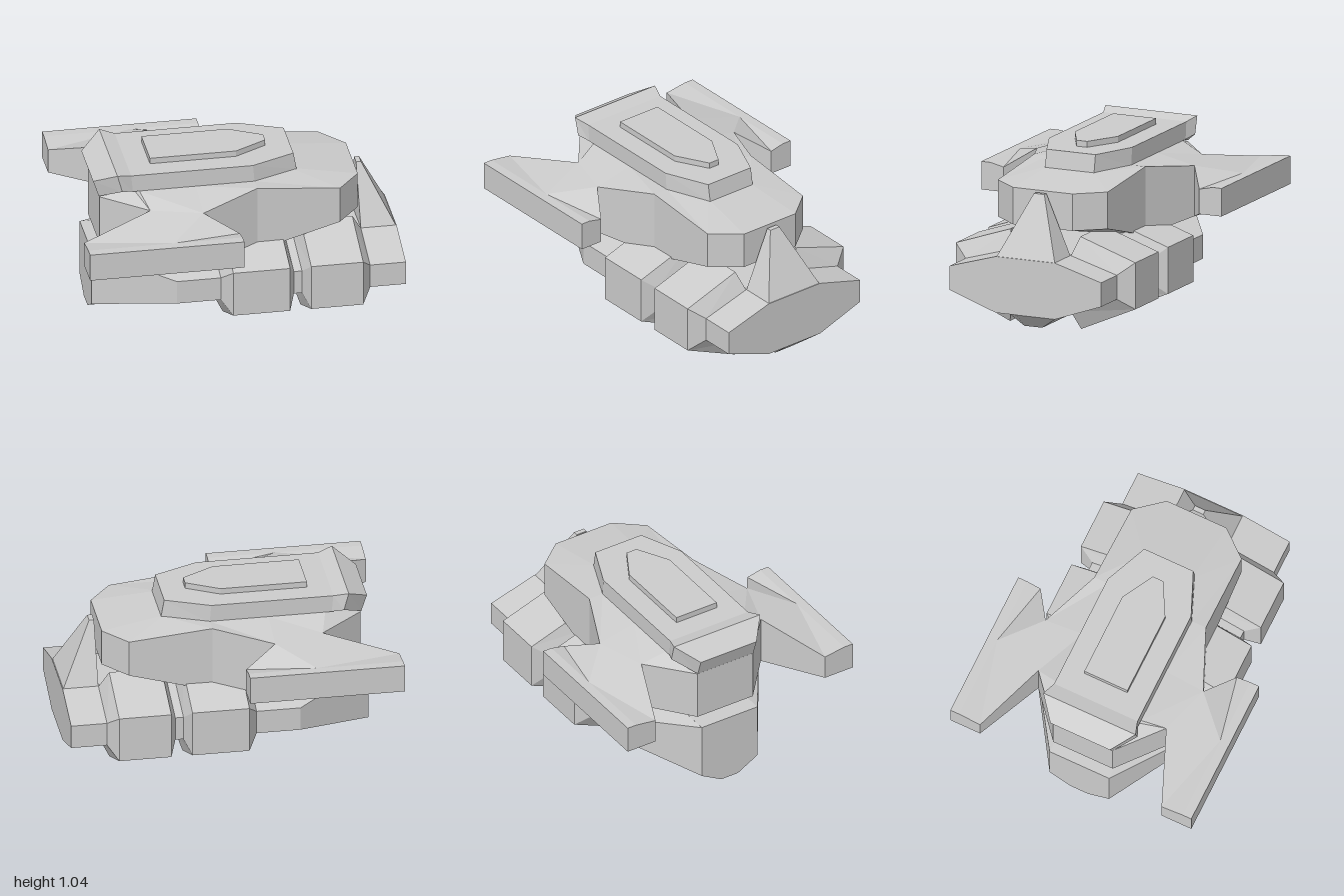
import * as THREE from 'three';

const material = new THREE.MeshStandardMaterial({ color: 0xcccccc, flatShading: true });

// Closed faceted solid through matching rings of [x, y, z]; each end is a fan around its apex.
function loft(name, rings, apexes) {
  const centre = ring => [0, 1, 2].map(k => ring.reduce((s, p) => s + p[k], 0) / ring.length);
  const first = rings[0], last = rings[rings.length - 1], n = first.length;
  const [a, b] = apexes || [centre(first), centre(last)];
  const tris = [];
  for (let i = 0; i < n; i++) {
    const j = (i + 1) % n;
    tris.push([a, first[j], first[i]], [b, last[i], last[j]]);
    for (let r = 0; r + 1 < rings.length; r++) {
      const p = rings[r], q = rings[r + 1];
      tris.push([p[i], p[j], q[j]], [p[i], q[j], q[i]]);
    }
  }
  // Turn the faces outward by the sign of the enclosed volume
  const v = p => new THREE.Vector3(...p);
  const volume = tris.reduce((s, t) => s + v(t[0]).dot(v(t[1]).cross(v(t[2]))), 0);
  if (volume < 0) tris.forEach(t => t.reverse());
  const geometry = new THREE.BufferGeometry();
  geometry.setAttribute('position', new THREE.Float32BufferAttribute(tris.flat(2), 3));
  geometry.computeVertexNormals();
  const mesh = new THREE.Mesh(geometry, material);
  mesh.name = name;
  return mesh;
}

const flip = ([x, y, z]) => [x, y, -z];
// Full ring from its +z half
const mirrored = half => [...half, ...half.map(flip).reverse()];
// Ring across the hull at x, from [z, y] pairs
const section = (x, pairs) => pairs.map(([z, y]) => [x, y, z]);

export function createModel() {
  const model = new THREE.Group();
  const add = (...args) => model.add(loft(...args));

  // Lower hull, tapering to the rear, with a chamfered keel
  const side = [[0.2, 0.47], [0.51, 0.38], [0.51, 0.23], [0.2, 0.12]];
  const hullRing = (x, pairs) => mirrored(section(x, pairs));
  add('lowerHull', [
    hullRing(-0.88, [[0.2, 0.47], [0.2, 0.469], [0.2, 0.11], [0.2, 0.109], [0.06, 0.03]]),
    hullRing(-0.41, [...side, [0.06, 0.03]]),
    hullRing(0.89, [...side, [0.06, 0.03]]),
    hullRing(1, [...side, [0.06, 0.12]]),
  ]);

  // Two armour pods on each side
  const outer = [[0.235, 0.58], [0.605, 0.455], [0.605, 0.165], [0.24, 0.005]];
  for (const [x0, x1, x2, x3] of [[-0.14, -0.08, 0.27, 0.31], [0.36, 0.4, 0.72, 0.78]]) {
    const rings = [section(x0, side), section(x1, outer), section(x2, outer), section(x3, side)];
    add('leftPod', rings);
    add('rightPod', rings.map(r => r.map(flip)));
  }

  // Tapered fin at the end of the hull
  add('fin', [
    mirrored([[0.78, 0.46, 0.2], [1, 0.46, 0.2]]),
    mirrored([[0.78, 0.84, 0.035], [0.81, 0.84, 0.035]]),
  ]);

  // Upper body: sloped underside, upright sides, sloped shoulders
  const plan = [[0.76, 0.2], [0.62, 0.37], [0.11, 0.375], [-0.25, 0.53], [-0.56, 0.43], [-0.83, 0.2]];
  const bodyRing = ys => mirrored(plan.map(([x, z], i) => [x, ys[i], z]));
  const flatRing = (y, pts) => mirrored(pts.map(([x, z]) => [x, y, z]));
  add('upperBody', [
    flatRing(0.47, [[0.11, 0.2], [0.11, 0.3], [0.1, 0.36], [-0.25, 0.3], [-0.58, 0.3], [-0.6, 0.2]]),
    bodyRing([0.62, 0.62, 0.475, 0.53, 0.53, 0.52]),
    bodyRing([0.85, 0.85, 0.9, 0.845, 0.84, 0.84]),
    flatRing(0.9, [[0.38, 0.16], [0.37, 0.17], [0.11, 0.28], [-0.25, 0.28], [-0.6, 0.28], [-0.64, 0.2]]),
  ]);

  // Wings: outline points as x, z, bottom y, top y
  const outline = [
    [-1, 0.81, 0.6, 0.775], [-0.05, 0.81, 0.6, 0.775], [-0.05, 0.75, 0.6, 0.775],
    [-0.05, 0.66, 0.6, 0.755], [-0.25, 0.53, 0.53, 0.845], [-0.56, 0.43, 0.53, 0.84],
    [-1, 0.61, 0.6, 0.755], [-1, 0.75, 0.6, 0.775],
  ];
  const wing = [2, 3].map(k => outline.map(p => [p[0], p[k], p[1]]));
  const tips = [[-0.47, 0.6, 0.75], [-0.47, 0.775, 0.75]];
  add('leftWing', wing, tips);
  add('rightWing', wing.map(r => r.map(flip)), tips.map(flip));

  // Top deck with a lip bent down at the rear: z, top x, top y, bottom x, bottom y
  add('deck', [
    [0.2, -0.87, 0.95, -0.835, 0.845], [0.31, -0.74, 1.03, -0.71, 0.92],
    [0.28, -0.65, 1.008, -0.64, 0.9], [0.28, 0.1, 1.008, 0.11, 0.895], [0.165, 0.37, 1.008, 0.39, 0.895],
  ].map(([z, xt, yt, xb, yb]) => mirrored([[xt, yt, z], [xb, yb, z]])));

  // Raised hatch panel
  const panel = [[-0.51, 0.145], [0.02, 0.145], [0.22, 0.035]];
  add('hatchPanel', [flatRing(1, panel), flatRing(1.045, panel)]);

  return model;
}
